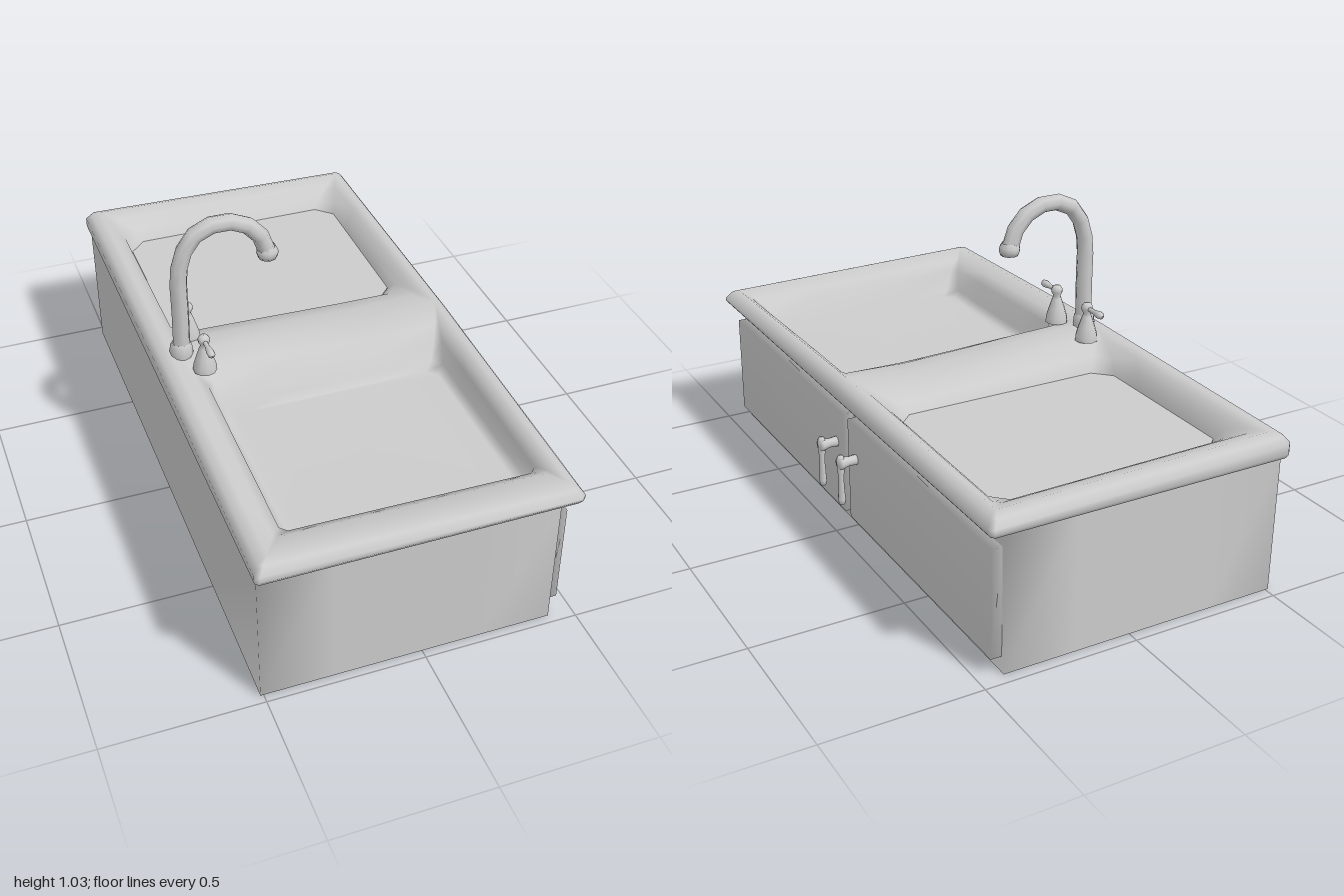
import * as THREE from 'three';
import { mergeGeometries, mergeVertices } from 'three/addons/utils/BufferGeometryUtils.js';

const material = new THREE.MeshStandardMaterial({ color: 0xcccccc, side: THREE.DoubleSide });

function add(parent, name, geometry, x = 0, y = 0, z = 0) {
  const mesh = new THREE.Mesh(geometry, material);
  mesh.name = name;
  mesh.position.set(x, y, z);
  parent.add(mesh);
  return mesh;
}

// Rectangle with cut corners; its sides are divided along x and along z
function ring([x0, x1, z0, z1, cut, y], zParts = 4) {
  const corners = [
    [x0 + cut, z0], [x1 - cut, z0], [x1, z0 + cut], [x1, z1 - cut],
    [x1 - cut, z1], [x0 + cut, z1], [x0, z1 - cut], [x0, z0 + cut],
  ].map(([x, z]) => new THREE.Vector3(x, y, z));
  const points = [];
  for (let side = 0; side < 4; side++) {
    const parts = side % 2 ? zParts : 4;
    for (let k = 0; k <= parts; k++) {
      points.push(corners[side * 2].clone().lerp(corners[side * 2 + 1], k / parts));
    }
  }
  return points;
}

// The worktop falls toward its ends and the door side; the divider dips between the basins
function settle(p) {
  if (p.y < 0.48) return p;
  const t = THREE.MathUtils.clamp((p.x + 0.475) / 0.92, 0, 1);
  const dip = 0.025 * Math.sin(Math.PI * t * t) * Math.max(0, 1 - Math.abs(p.z) / 0.2);
  p.y -= 0.016 * p.x + 0.016 * Math.abs(p.z) + 0.004 * p.z + dip;
  return p;
}

// Skin joining successive rings, with an optional flat floor
function loft(sections, zParts = 4, closed = false) {
  const rings = sections.map((s) => ring(s, zParts).map(settle));
  const n = rings[0].length, position = [], index = [];
  rings.flat().forEach((p) => position.push(p.x, p.y, p.z));
  for (let j = 0; j < rings.length - 1; j++) {
    for (let i = 0; i < n; i++) {
      const a = j * n + i, b = j * n + (i + 1) % n;
      index.push(a, a + n, b, b, a + n, b + n);
    }
  }
  if (closed) {
    const base = (rings.length - 1) * n;
    for (let i = 1; i < n - 1; i++) index.push(base, base + i + 1, base + i);
  }
  const g = new THREE.BufferGeometry();
  g.setAttribute('position', new THREE.Float32BufferAttribute(position, 3));
  g.setIndex(index);
  return g;
}

// Weld shared corners so the shading runs softly across them
function soften(geometry) {
  geometry.deleteAttribute('normal');
  geometry.deleteAttribute('uv');
  const g = mergeVertices(geometry);
  g.computeVertexNormals();
  return g;
}

function lathe(points, sides = 10) {
  return new THREE.LatheGeometry(points.map(([r, y]) => new THREE.Vector2(r, y)), sides);
}

export function createModel() {
  const model = new THREE.Group();
  model.name = 'sinkCabinet';

  // Cabinet walls, open below
  add(model, 'cabinetWalls', soften(loft([
    [-0.51, 0.42, -0.962, 0.972, 0, 0],
    [-0.515, 0.42, -0.962, 0.972, 0, 0.45],
  ])));

  // Worktop: rounded edge, open basin, and the rim of the covered basin
  const edge = loft([
    [-0.515, 0.42, -0.962, 0.972, 0, 0.45],
    [-0.52, 0.475, -0.99, 0.99, 0.01, 0.46],
    [-0.525, 0.487, -1, 1, 0.015, 0.475],
    [-0.525, 0.487, -1, 1, 0.015, 0.51],
    [-0.507, 0.47, -0.982, 0.982, 0.012, 0.533],
    [-0.475, 0.445, -0.955, 0.955, 0, 0.543],
  ], 8);
  const openBasin = loft([
    [-0.475, 0.445, 0, 0.955, 0, 0.543],
    [-0.43, 0.42, 0.08, 0.88, 0.01, 0.525],
    [-0.395, 0.405, 0.13, 0.84, 0.02, 0.5],
    [-0.38, 0.395, 0.16, 0.825, 0.03, 0.42],
    [-0.35, 0.365, 0.19, 0.795, 0.03, 0.405],
  ], 4, true);
  const coveredBasin = loft([
    [-0.475, 0.445, -0.955, 0, 0, 0.543],
    [-0.45, 0.42, -0.91, -0.09, 0.02, 0.53],
    [-0.42, 0.39, -0.86, -0.165, 0.045, 0.5],
    [-0.405, 0.375, -0.835, -0.19, 0.055, 0.455],
  ]);
  add(model, 'worktop', soften(mergeGeometries([edge, openBasin, coveredBasin])));

  // Flat board closing the second basin
  const outline = ring([-0.405, 0.375, -0.835, -0.19, 0.055, 0]);
  const board = new THREE.ShapeGeometry(new THREE.Shape(outline.map((p) => new THREE.Vector2(p.x, -p.z))));
  add(model, 'basinBoard', board.rotateX(-Math.PI / 2), 0, 0.457, 0);

  // Doors with bar handles
  for (const side of [1, -1]) {
    add(model, 'door', soften(new THREE.BoxGeometry(0.035, 0.35, 0.93)), 0.4375, 0.227, side * 0.484);
    const handle = new THREE.Group();
    handle.name = 'doorHandle';
    handle.position.set(0, 0, side * 0.075);
    const post = lathe([[0.018, 0], [0.016, 0.03], [0.022, 0.055], [0.02, 0.065], [0, 0.068]], 8);
    add(handle, 'handlePost', post, 0.452, 0.283, 0).rotation.z = -Math.PI / 2;
    const bar = lathe([[0, 0], [0.01, 0.003], [0.013, 0.02], [0.009, 0.09],
      [0.013, 0.135], [0.014, 0.16], [0.009, 0.174], [0, 0.176]], 8);
    add(handle, 'handleBar', bar, 0.508, 0.135, 0);
    model.add(handle);
  }

  // Swan neck tap
  const tap = new THREE.Group();
  tap.name = 'tap';
  model.add(tap);
  add(tap, 'tapBase', lathe([[0.036, 0], [0.038, 0.02], [0.035, 0.045], [0.028, 0.055]]), -0.44, 0.535, 0);
  const neck = new THREE.CatmullRomCurve3([
    [-0.438, 0.56], [-0.436, 0.7], [-0.433, 0.86], [-0.4, 0.95], [-0.36, 0.985],
    [-0.29, 1.002], [-0.215, 0.978], [-0.168, 0.93], [-0.147, 0.87],
  ].map(([x, y]) => new THREE.Vector3(x, y, 0)));
  add(tap, 'tapNeck', new THREE.TubeGeometry(neck, 12, 0.028, 8));
  const nozzle = lathe([[0, 0], [0.03, 0], [0.035, 0.015], [0.034, 0.028], [0.026, 0.042]]);
  add(tap, 'tapNozzle', nozzle, -0.145, 0.846, 0);

  // Tap valves with outward levers
  for (const side of [1, -1]) {
    const valve = new THREE.Group();
    valve.name = 'tapValve';
    valve.position.set(-0.39, 0.535, side * 0.095);
    add(valve, 'valveBody', lathe([[0.038, 0], [0.037, 0.02], [0.028, 0.05], [0.016, 0.085],
      [0.012, 0.095], [0.019, 0.108], [0.019, 0.12], [0.012, 0.13], [0, 0.132]]));
    const lever = lathe([[0.008, 0], [0.008, 0.04], [0.013, 0.07], [0.012, 0.085], [0, 0.093]], 8);
    add(valve, 'valveLever', lever, 0, 0.113, 0).rotation.x = side * Math.PI / 2;
    model.add(valve);
  }

  return model;
}
